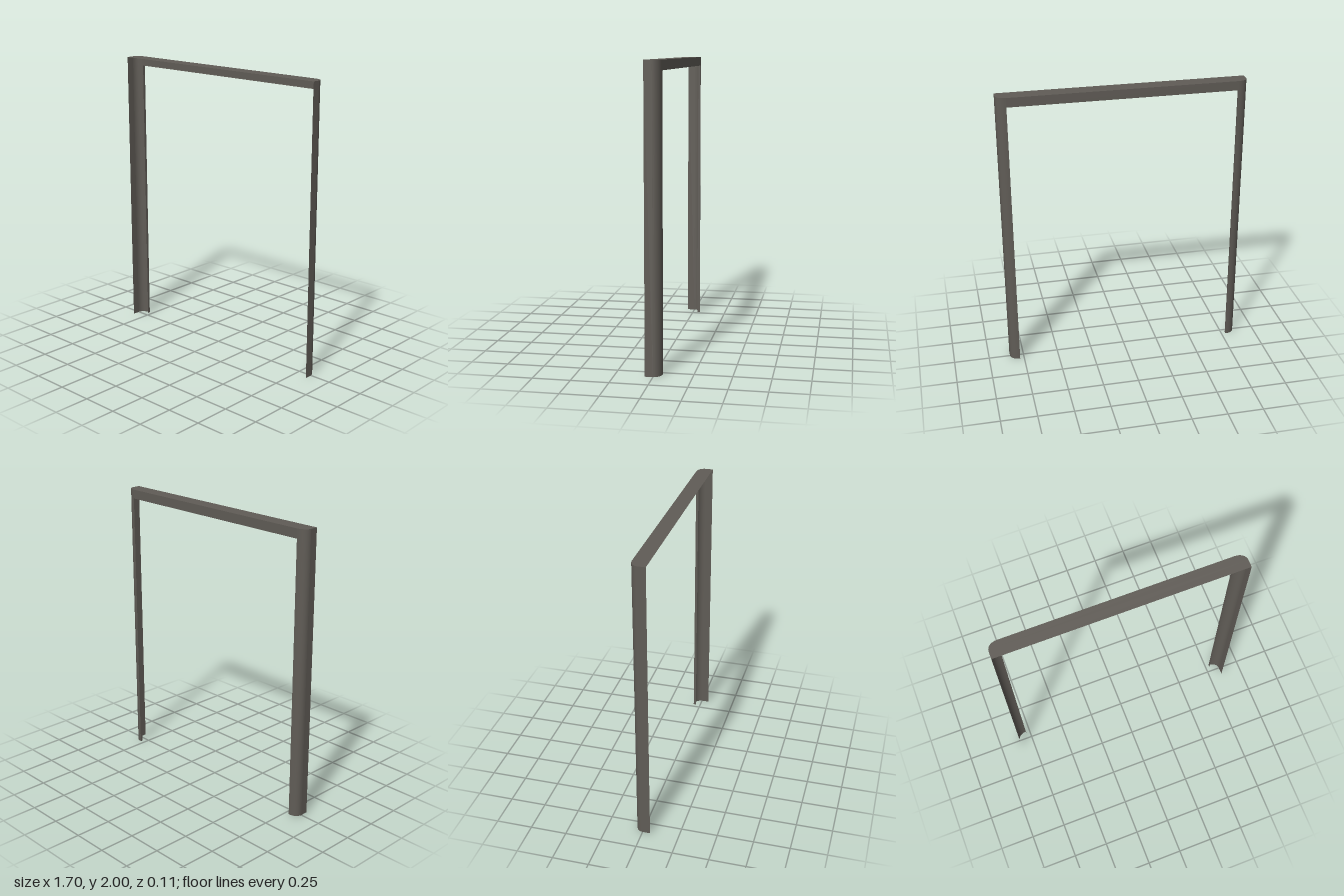
import * as THREE from 'three';

const W = 0.848, INNER = 0.78, H = 2, UNDER = 1.935, D = 0.053, LIP = 0.018;

// Thin sheet between two matching rows of points
function sheet(rowA, rowB) {
  const pos = [], index = [];
  rowA.forEach((a, i) => pos.push(...a, ...rowB[i]));
  for (let i = 0; i < rowA.length - 1; i++) {
    const k = i * 2;
    index.push(k, k + 2, k + 1, k + 1, k + 2, k + 3);
  }
  const g = new THREE.BufferGeometry();
  g.setAttribute('position', new THREE.Float32BufferAttribute(pos, 3));
  g.setIndex(index);
  g.computeVertexNormals();
  return g;
}

// Rounded back corner in plan, from the side wall (t = 0) to the back (t = 1)
function cornerPoints(side, n = 8) {
  return Array.from({ length: n + 1 }, (_, i) => {
    const a = (i / n) * Math.PI / 2;
    return [side * (INNER + (W - INNER) * Math.cos(a)), -D * Math.sin(a)];
  });
}

export function createModel() {
  const model = new THREE.Group();
  model.name = 'doorFrame';
  const metal = new THREE.MeshStandardMaterial({ color: 0x605c56, side: THREE.DoubleSide });
  metal.name = 'dark bronze metal';
  const add = (parent, name, geometry) => {
    const mesh = new THREE.Mesh(geometry, metal);
    mesh.name = name;
    parent.add(mesh);
    return mesh;
  };

  // Posts: flat outer wall, rounded back, short inner lip
  for (const side of [-1, 1]) {
    const post = new THREE.Group();
    post.name = side > 0 ? 'leftPost' : 'rightPost';
    const upright = (name, plan, top) => add(post, name, sheet(
      plan.map(([x, z]) => [x, 0, z]), plan.map(([x, z]) => [x, top, z])));
    upright('outerWall', [[side * W, D], [side * W, 0]], H);
    upright('roundedBack', cornerPoints(side), H);
    upright('innerLip', [[side * INNER, -D], [side * INNER, -D + LIP]], UNDER);
    model.add(post);
  }

  // Header: back wall, lip along its lower edge, top plate
  const header = new THREE.Group();
  header.name = 'header';
  const across = (name, section) => add(header, name, sheet(
    section.map(([y, z]) => [-INNER, y, z]), section.map(([y, z]) => [INNER, y, z])));
  across('backWall', [[UNDER, -D], [H, -D]]);
  across('lowerLip', [[UNDER, -D], [UNDER, -D + LIP]]);

  const outline = [[-W, D], [W, D], ...cornerPoints(1), ...cornerPoints(-1).reverse()];
  const plate = new THREE.Shape(outline.map(([x, z]) => new THREE.Vector2(x, -z)));
  add(header, 'topPlate', new THREE.ShapeGeometry(plate).rotateX(-Math.PI / 2).translate(0, H, 0));
  model.add(header);

  return model;
}
